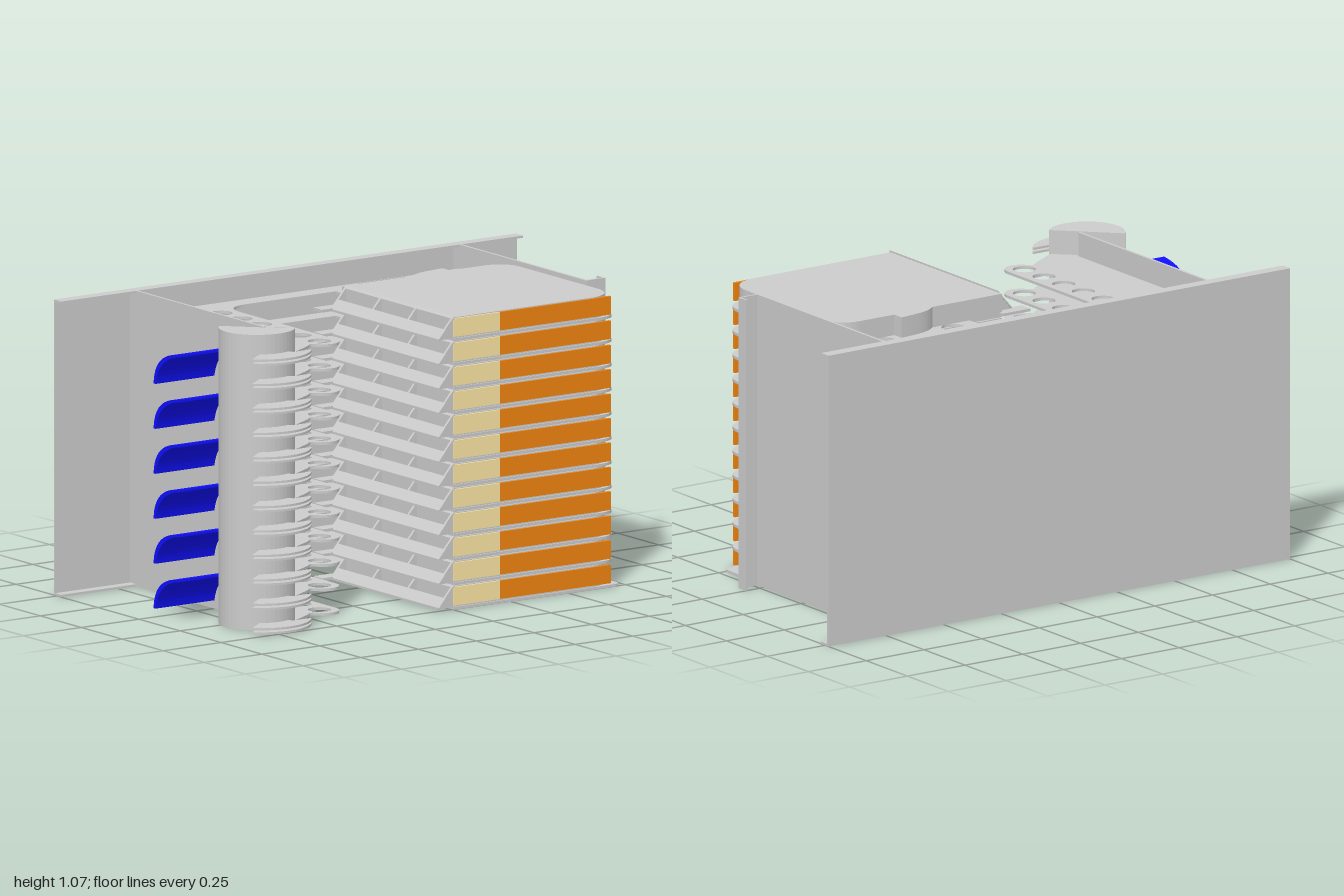
import * as THREE from 'three';

const mat = (color) => new THREE.MeshStandardMaterial({ color, side: THREE.DoubleSide });
const grey = mat(0xcccccc), orange = mat(0xf08410), cream = mat(0xfbe6a4), blue = mat(0x1010ff);

const HEIGHT = 1.065, TRAYS = 12, PITCH = 0.088;

function add(parent, name, geometry, material = grey) {
  const mesh = new THREE.Mesh(geometry, material);
  mesh.name = name;
  parent.add(mesh);
  return mesh;
}

// Box given by its limits
function box(parent, name, x0, x1, y0, y1, z0, z1, material) {
  const g = new THREE.BoxGeometry(x1 - x0, y1 - y0, z1 - z0);
  g.translate((x0 + x1) / 2, (y0 + y1) / 2, (z0 + z1) / 2);
  return add(parent, name, g, material);
}

// Plan outline (x, z) extruded upward from y0 to y1
function slab(shape, y0, y1) {
  const g = new THREE.ExtrudeGeometry(shape, { depth: y1 - y0, bevelEnabled: false, curveSegments: 12 });
  return g.rotateX(Math.PI / 2).translate(0, y1, 0);
}

const roundHole = (x, z, r) => new THREE.Path().absarc(x, z, r, 0, Math.PI * 2, true);
const rectHole = (x0, x1, z0, z1) => new THREE.Path([[x0, z0], [x0, z1], [x1, z1], [x1, z0], [x0, z0]]
  .map(([x, z]) => new THREE.Vector2(x, z)));

// Tray floor: left arm, back bridge and right-hand splice area
function floorShape(corner) {
  const s = new THREE.Shape();
  s.moveTo(-0.67, -0.48);
  s.lineTo(0.725, -0.48);
  s.lineTo(0.725, 0.51 - corner);
  s.quadraticCurveTo(0.725, 0.51, 0.725 - corner, 0.51);
  s.lineTo(0, 0.51);
  s.lineTo(0, -0.17);
  s.lineTo(0.14, -0.17);
  s.lineTo(0.14, -0.405);
  s.lineTo(-0.25, -0.405);
  s.quadraticCurveTo(-0.345, -0.405, -0.345, -0.3);
  s.lineTo(-0.345, 0.28);
  s.absarc(-0.402, 0.28, 0.057, 0, Math.PI * 0.8, false);
  s.quadraticCurveTo(-0.47, 0.285, -0.49, 0.315);
  s.lineTo(-0.6, 0.38);
  s.lineTo(-0.67, 0.38);
  s.closePath();
  for (let i = 0; i < 6; i++) s.holes.push(roundHole(-0.41, -0.33 + i * 0.12, 0.041));
  for (const x of [0.24, 0.54])
    for (const z of [-0.33, -0.21, -0.07, 0.09, 0.25, 0.4]) s.holes.push(roundHole(x, z, 0.042));
  s.holes.push(rectHole(0.28, 0.49, -0.475, -0.435));
  s.holes.push(rectHole(0.34, 0.44, -0.36, -0.31));
  s.holes.push(rectHole(0.63, 0.68, -0.37, -0.17));
  return s;
}

// Closed cassette on each tray, with a raised step at the back
function cassetteShape() {
  const s = new THREE.Shape();
  s.moveTo(0, -0.17);
  s.lineTo(0.3, -0.17);
  s.bezierCurveTo(0.34, -0.2, 0.36, -0.21, 0.47, -0.22);
  s.lineTo(0.47, -0.175);
  s.lineTo(0.62, -0.175);
  s.quadraticCurveTo(0.71, -0.17, 0.71, -0.08);
  s.lineTo(0.71, 0.4);
  s.quadraticCurveTo(0.7, 0.49, 0.61, 0.505);
  s.lineTo(0, 0.505);
  s.closePath();
  return s;
}

// Fan-shaped cable guard at the hinge
function fanShape() {
  const s = new THREE.Shape();
  s.moveTo(-0.71, 0.36);
  s.lineTo(-0.64, 0.435);
  s.lineTo(-0.57, 0.435);
  s.absarc(-0.71, 0.335, 0.178, 0.62, 2.36, false);
  s.closePath();
  return s;
}

// Sloping frame with three windows along the inner side of a cassette
function addCombFrame(parent, y) {
  const bars = [-0.145, 0.07, 0.285, 0.505];
  const slope = (x0, x1, z0, z1) => {
    const h = (x) => 0.01 + (x + 0.06) * 1.15;
    const s = new THREE.Shape();
    s.moveTo(x0, h(x0));
    s.lineTo(x1, h(x1));
    s.lineTo(x1, h(x1) - 0.008);
    s.lineTo(x0, h(x0) - 0.008);
    add(parent, 'combFrame', new THREE.ExtrudeGeometry(s, { depth: z1 - z0, bevelEnabled: false }).translate(0, y, z0));
  };
  slope(-0.065, -0.037, -0.15, 0.512);
  slope(-0.006, 0.002, -0.15, 0.512);
  for (const z of bars) {
    slope(-0.037, -0.006, z - 0.005, z + 0.005);
    // triangular web under each bar
    const web = new THREE.Shape([[-0.06, 0], [0, 0], [0, 0.075]].map(([a, b]) => new THREE.Vector2(a, b)));
    add(parent, 'combWeb', new THREE.ExtrudeGeometry(web, { depth: 0.004, bevelEnabled: false }).translate(0, y, z - 0.002));
  }
}

function makeTray(i, floor, cassette, fan) {
  const tray = new THREE.Group();
  tray.name = 'tray';
  const y = i * PITCH;
  add(tray, 'trayFloor', floor).position.y = y;
  add(tray, 'cassette', cassette).position.y = y;
  for (const dy of [0.003, 0.018]) add(tray, 'cableGuard', fan).position.y = y + dy;
  box(tray, 'creamLabel', 0, 0.2, y + 0.016, y + 0.082, 0.5, 0.512, cream);
  box(tray, 'orangeLabel', 0.2, 0.68, y + 0.016, y + 0.082, 0.5, 0.512, orange);
  addCombFrame(tray, y + 0.01);
  box(tray, 'cableTab', -0.11, 0.01, y + 0.008, y + 0.018, -0.19, -0.15);
  box(tray, 'cableTabHook', -0.11, -0.055, y + 0.008, y + 0.018, -0.15, -0.137);
  return tray;
}

// Curved cable saddle: quarter shell arching forward and up
function saddleGeometry() {
  const s = new THREE.Shape();
  s.moveTo(0, 0);
  s.quadraticCurveTo(0.005, 0.115, 0.16, 0.128);
  s.lineTo(0.16, 0.12);
  s.quadraticCurveTo(0.03, 0.1, 0.012, 0);
  s.closePath();
  const g = new THREE.ExtrudeGeometry(s, { depth: 0.26, bevelEnabled: false, curveSegments: 14 });
  return g.rotateY(-Math.PI / 2).translate(-0.67, 0, -0.01);
}

export function createModel() {
  const model = new THREE.Group();
  model.name = 'trayRack';

  // Folded back panel
  box(model, 'backPanel', -1, 1, 0, HEIGHT, -0.52, -0.512);
  for (const y of [0, HEIGHT - 0.008]) {
    box(model, 'panelLip', -1, 1, y, y + 0.008, -0.512, -0.475);
  }

  // Side walls and folded right flange
  box(model, 'rightWall', 0.725, 0.735, 0, HEIGHT, -0.512, 0.3);
  box(model, 'leftWall', -0.675, -0.665, 0, HEIGHT, -0.512, 0.3);
  box(model, 'flange', 0.735, 0.81, 0, HEIGHT, 0.287, 0.295);
  box(model, 'flangeReturn', 0.802, 0.81, 0, HEIGHT, 0.25, 0.295);

  // Half-round pillar at the hinge side
  const half = new THREE.Shape().absarc(-0.695, 0.29, 0.136, Math.PI / 4, Math.PI * 1.25, false);
  half.closePath();
  add(model, 'pillar', slab(half, 0, HEIGHT));

  // Stack of trays, the lowest with a squarer corner
  const floor = slab(floorShape(0.1), 0, 0.01);
  const baseFloor = slab(floorShape(0.03), 0, 0.01);
  const cassette = slab(cassetteShape(), 0.01, 0.085);
  const fan = slab(fanShape(), 0, 0.008);
  for (let i = 0; i < TRAYS; i++) model.add(makeTray(i, i ? floor : baseFloor, cassette, fan));

  // Column of cable saddles outside the left wall
  const saddle = saddleGeometry();
  for (let i = 0; i < 6; i++) add(model, 'cableSaddle', saddle, blue).position.y = 0.03 + i * 0.162;

  return model;
}
